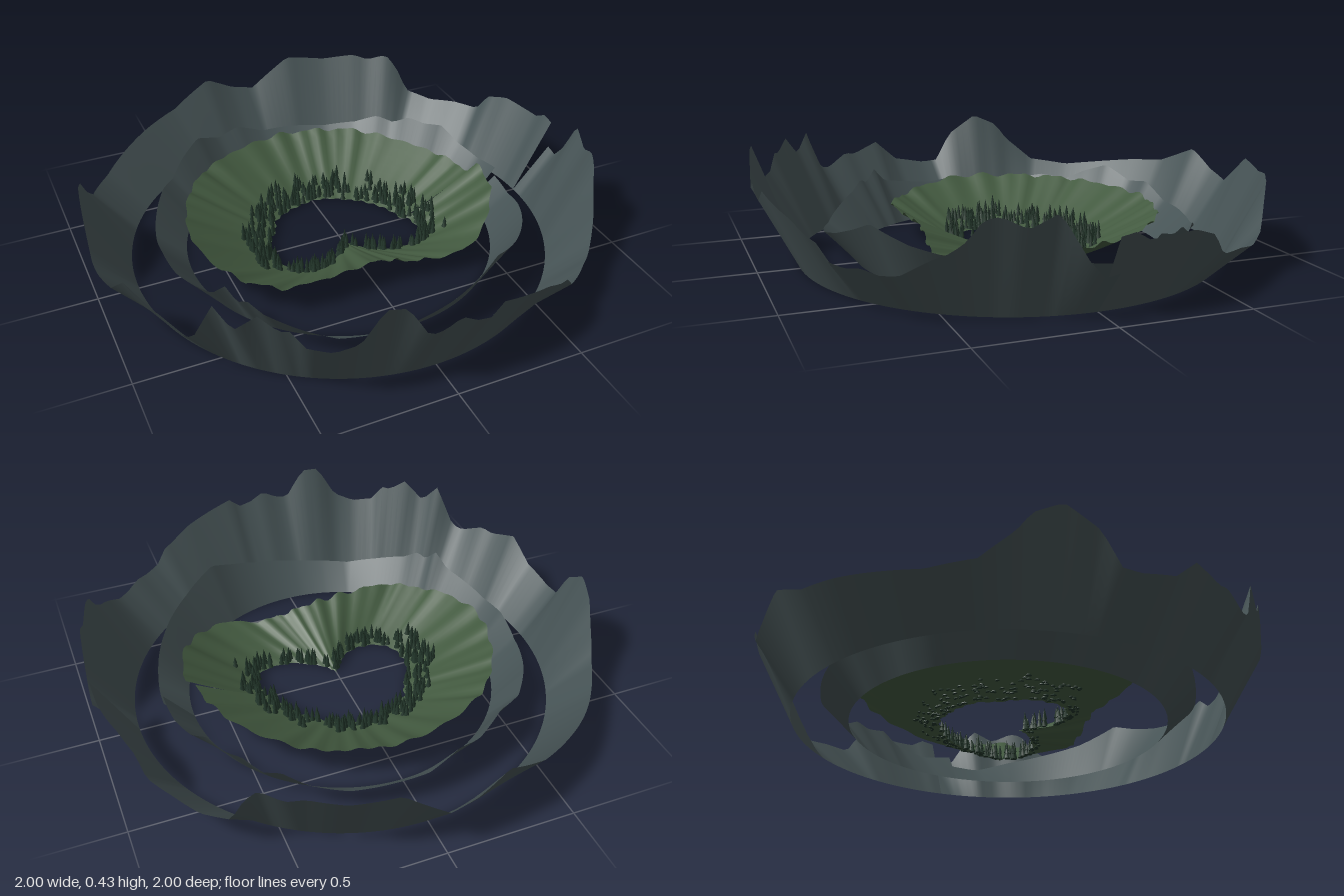
import * as THREE from 'three';
import { mergeGeometries } from 'three/addons/utils/BufferGeometryUtils.js';

const ridgeMat = new THREE.MeshStandardMaterial({ color: 0x465355, side: THREE.DoubleSide });
ridgeMat.name = 'slate ridge';
const hillMat = new THREE.MeshStandardMaterial({ color: 0x435a40, side: THREE.DoubleSide });
hillMat.name = 'meadow green';
const treeMat = new THREE.MeshStandardMaterial({ color: 0x22362a });
treeMat.name = 'pine green';

// Profiles around the circle: flat lists of angle (degrees, +x towards +z), value
const OUTER_HEIGHT = [
  0, .18, 3, .17, 6, .23, 11.5, .39, 17, .34, 22, .38, 25, .37, 28, .3, 31, .26, 35, .23, 41, .17, 45, .165,
  49, .18, 53, .17, 57, .18, 60, .235, 63, .25, 68, .29, 75, .32, 81, .345, 84, .3, 87, .31, 90.5, .345, 94, .31,
  97, .3, 99, .36, 101.5, .43, 105.5, .435, 110, .3, 115, .265, 120, .28, 123, .345, 125, .34, 129, .39, 134, .31,
  138, .39, 143, .22, 146, .21, 152, .26, 155, .25, 162, .29, 168, .2, 176, .17, 180, .175, 184, .3, 191, .385,
  197, .34, 200, .27, 207, .17, 217, .15, 225, .17, 236, .2, 246, .22, 257, .3, 264, .23, 270, .2, 280, .33,
  290, .31, 298, .33, 302, .31, 307, .34, 310, .28, 313, .17, 320, .145, 327, .165, 334, .17, 337, .25, 343, .285,
  349, .28, 354, .28, 357, .31, 360, .3];
const INNER_HEIGHT = [
  0, .1, 10, .09, 21, .13, 36, .165, 48, .19, 62, .24, 70, .2, 80, .16, 95, .117, 105, .1, 114, .09, 124, .12,
  135, .16, 140, .2, 143, .18, 147, .23, 152, .17, 160, .15, 170, .13, 180, .14, 192, .11, 203, .127, 213, .15,
  222, .135, 229, .18, 238, .22, 248, .165, 256, .18, 266, .12, 276, .115, 289, .1, 300, .12, 308, .16, 314, .14,
  320, .18, 326, .17, 333, .19, 340, .14, 350, .12, 360, .14];
const SHORE_RADIUS = [
  0, .31, 15, .34, 30, .33, 40, .27, 46, .24, 55, .17, 70, .1, 82, .06, 90, .05, 98, .06, 110, .1, 122, .18,
  135, .235, 148, .28, 160, .3, 180, .295, 195, .28, 210, .26, 225, .28, 240, .275, 255, .27, 270, .275,
  285, .27, 300, .26, 315, .265, 330, .27, 345, .28, 360, .29];
const HILL_RADIUS = [
  0, .64, 15, .63, 30, .6, 45, .565, 50, .54, 60, .45, 75, .39, 90, .37, 105, .395, 120, .45, 135, .545, 145, .57,
  160, .605, 180, .62, 195, .61, 210, .61, 225, .61, 240, .6, 255, .595, 270, .6, 285, .59, 300, .595, 315, .58,
  330, .58, 345, .59, 360, .605];
const HILL_HEIGHT = [
  0, .18, 20, .18, 45, .11, 62, .08, 90, .13, 110, .13, 146, .13, 180, .17, 230, .165, 290, .16, 330, .145, 360, .15];

function sample(table, deg) {
  let i = 2;
  while (i < table.length - 2 && table[i] < deg) i += 2;
  return THREE.MathUtils.mapLinear(deg, table[i - 2], table[i], table[i - 1], table[i + 1]);
}

// Open sheet swept once around the circle; point(deg, t) gives [radius, height]
function sweep(segments, rows, point) {
  const pos = [], index = [];
  for (let i = 0; i <= segments; i++) {
    const deg = 360 * i / segments, a = THREE.MathUtils.degToRad(deg);
    for (let j = 0; j <= rows; j++) {
      const [r, y] = point(deg, j / rows);
      pos.push(r * Math.cos(a), y, r * Math.sin(a));
      if (i < segments && j < rows) {
        const p = i * (rows + 1) + j, q = p + rows + 1;
        index.push(p, q, p + 1, p + 1, q, q + 1);
      }
    }
  }
  const g = new THREE.BufferGeometry();
  g.setAttribute('position', new THREE.Float32BufferAttribute(pos, 3));
  g.setIndex(index);
  g.computeVertexNormals();
  return g;
}

function ridge(name, r0, r1, heights) {
  const mesh = new THREE.Mesh(
    sweep(240, 1, (deg, t) => [r0 + (r1 - r0) * t, sample(heights, deg) * t]), ridgeMat);
  mesh.name = name;
  return mesh;
}

// Hill surface with radial folds that grow towards the rim
function hillPoint(deg, t) {
  const a = THREE.MathUtils.degToRad(deg);
  const fold = .006 * Math.sin(a * 23 + 1) + .005 * Math.sin(a * 37 + 2 * Math.sin(a * 5));
  const r0 = sample(SHORE_RADIUS, deg) + .005 * Math.sin(a * 31);
  const r1 = sample(HILL_RADIUS, deg) + .004 * Math.sin(a * 27);
  return [r0 + (r1 - r0) * t, .002 + sample(HILL_HEIGHT, deg) * Math.pow(t, 1.15) + fold * t];
}

function seeded(seed) {
  return () => (seed = (seed * 16807) % 2147483647) / 2147483647;
}

// Pine made of two stacked cones, one unit high
function pine() {
  const skirt = new THREE.ConeGeometry(.17, .65, 6).translate(0, .325, 0);
  const crown = new THREE.ConeGeometry(.12, .6, 6).translate(0, .7, 0);
  return mergeGeometries([skirt, crown]);
}

function forest() {
  const rand = seeded(77), base = pine(), trees = [];
  while (trees.length < 300) {
    const deg = rand() * 360, a = THREE.MathUtils.degToRad(deg);
    // fewer trees where the shore pinches in
    if (rand() > sample(SHORE_RADIUS, deg) / .28 + .15) continue;
    const band = deg > 25 && deg < 155 ? .045 : .1;
    const [r0] = hillPoint(deg, 0), [r1] = hillPoint(deg, 1);
    const t = (.005 + band * Math.pow(rand(), 1.3)) / (r1 - r0);
    const [r, y] = hillPoint(deg, t);
    const h = .045 + .035 * rand();
    trees.push(base.clone().rotateY(rand() * 6).scale(.07, h, .07)
      .translate(r * Math.cos(a), y, r * Math.sin(a)));
  }
  const mesh = new THREE.Mesh(mergeGeometries(trees), treeMat);
  mesh.name = 'pineForest';
  return mesh;
}

export function createModel() {
  const group = new THREE.Group();
  group.name = 'mountainBasin';
  const hill = new THREE.Mesh(sweep(180, 8, hillPoint), hillMat);
  hill.name = 'shoreHills';
  group.add(
    ridge('farRidge', .84, 1, OUTER_HEIGHT),
    ridge('nearRidge', .62, .735, INNER_HEIGHT),
    hill,
    forest());
  return group;
}
